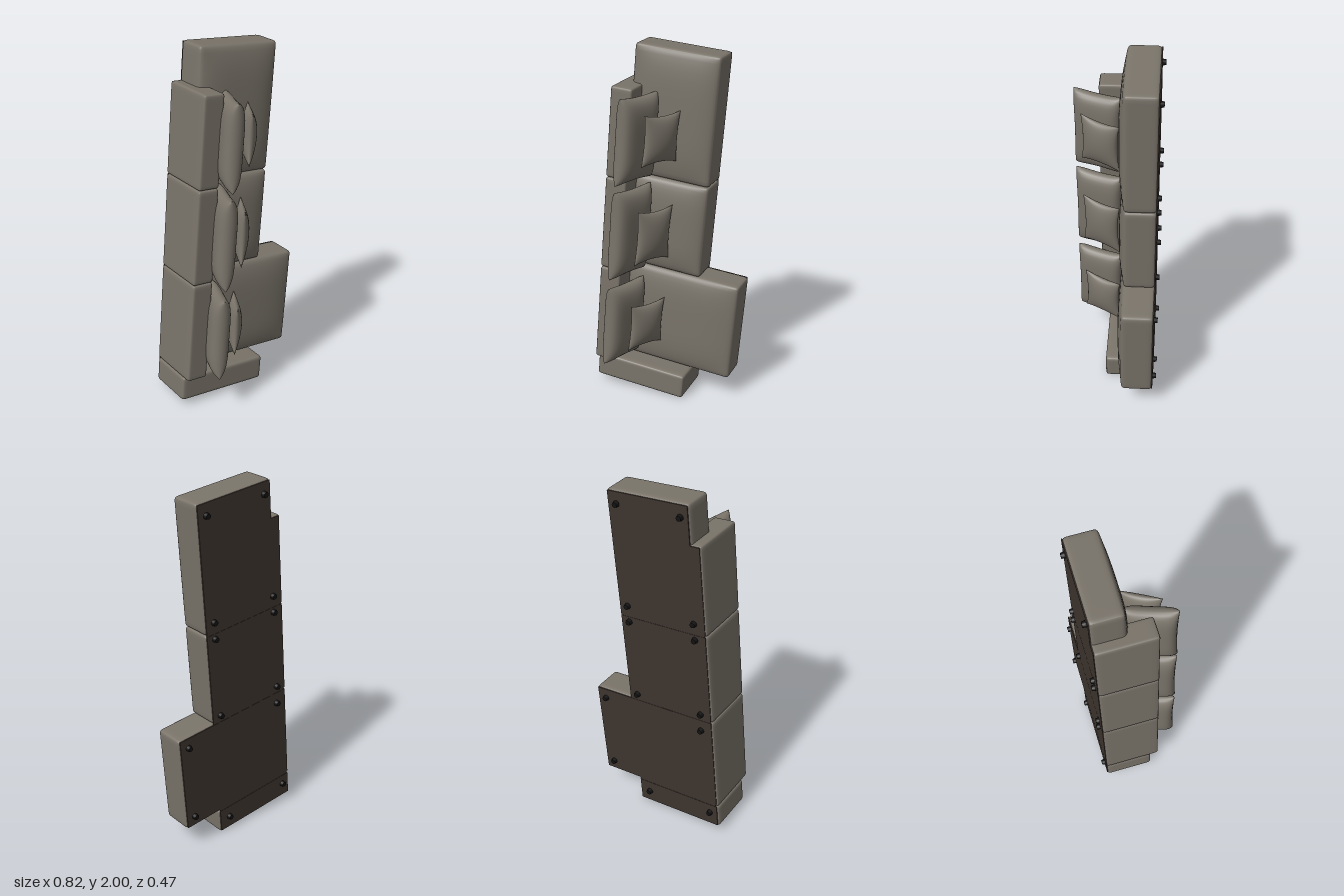
import * as THREE from 'three';
import { mergeVertices } from 'three/addons/utils/BufferGeometryUtils.js';

const fabric = new THREE.MeshStandardMaterial({ color: 0x7a746a });
fabric.name = 'warm grey fabric';
const lining = new THREE.MeshStandardMaterial({ color: 0x3d342e });
lining.name = 'dark brown lining';
const black = new THREE.MeshStandardMaterial({ color: 0x121212 });
black.name = 'black feet';

// Unit cube grid, dense toward its edges, with every vertex moved by a rule
function shaped(nx, ny, nz, rule) {
  let g = new THREE.BoxGeometry(2, 2, 2, nx, ny, nz);
  g.deleteAttribute('uv');
  g.deleteAttribute('normal');
  const p = g.attributes.position;
  const v = new THREE.Vector3();
  const ease = (t) => Math.sin(t * Math.PI / 2);
  for (let i = 0; i < p.count; i++) {
    v.set(ease(p.getX(i)), ease(p.getY(i)), ease(p.getZ(i)));
    rule(v);
    p.setXYZ(i, v.x, v.y, v.z);
  }
  g = mergeVertices(g, 1e-5);
  g.computeVertexNormals();
  return g;
}

// Upholstered block with rounded edges and a domed top (+z)
function block(x0, x1, y0, y1, z0, z1, r, bulge = 0) {
  const half = new THREE.Vector3(x1 - x0, y1 - y0, z1 - z0).multiplyScalar(0.5);
  const inner = half.clone().subScalar(r);
  const low = inner.clone().negate();
  const g = shaped(20, 20, 12, (v) => {
    const dome = bulge * (1 - v.x ** 4) * (1 - v.y ** 4) * Math.max(0, v.z) ** 2;
    v.multiply(half);
    const core = v.clone().clamp(low, inner);
    v.sub(core).normalize().multiplyScalar(r).add(core);
    v.z += dome;
  });
  g.translate((x0 + x1) / 2, (y0 + y1) / 2, (z0 + z1) / 2);
  return g;
}

// Pillow with pinched sides; a higher power gives a fuller, boxier form
function pillow(w, h, t, power, pinch) {
  return shaped(24, 24, 1, (v) => {
    const { x, y } = v;
    v.x = w * x * (1 - pinch * (1 - y * y));
    v.y = h * y * (1 - pinch * (1 - x * x));
    v.z = Math.sign(v.z) * t * Math.sqrt(Math.max(0, (1 - Math.abs(x) ** power) * (1 - Math.abs(y) ** power)));
  });
}

export function createModel() {
  const model = new THREE.Group();
  model.name = 'sectionalSofa';
  const sofa = new THREE.Group();
  sofa.name = 'sofaBody';
  sofa.rotation.z = -0.0838;
  model.add(sofa);

  const add = (name, geometry, material) => {
    const m = new THREE.Mesh(geometry, material);
    m.name = name;
    sofa.add(m);
    return m;
  };

  // Seats
  add('chaiseSeat', block(-0.36, 0.35, 0.163, 0.741, -0.215, -0.042, 0.02, 0.03), fabric);
  add('middleSeat', block(-0.36, 0.12, 0.742, 1.273, -0.215, -0.042, 0.02, 0.03), fabric);
  add('endSeat', block(-0.36, 0.12, 1.274, 1.982, -0.215, -0.042, 0.02, 0.03), fabric);

  // Backrests and armrest
  [[0.157, 0.736], [0.738, 1.27], [1.272, 1.774]].forEach(([a, b], i) =>
    add('backrest' + (i + 1), block(-0.415, -0.292, a, b, -0.215, 0.105, 0.014), fabric));
  add('armrest', block(-0.415, 0.121, 0.012, 0.156, -0.215, 0.06, 0.018), fabric);

  // Underside lining, one thin plate per section
  [
    [-0.405, 0.112, 0.02, 0.155], [-0.405, 0.341, 0.17, 0.735],
    [-0.405, 0.112, 0.745, 1.268], [-0.405, 0.112, 1.278, 1.768], [-0.352, 0.112, 1.766, 1.974],
  ].forEach(([x0, x1, y0, y1], i) => {
    const plate = add('undersideLining' + (i + 1), new THREE.BoxGeometry(x1 - x0, y1 - y0, 0.006), lining);
    plate.position.set((x0 + x1) / 2, (y0 + y1) / 2, -0.215);
  });
  // Lining strips that close the gaps between sections
  [[0.162, 0.112], [0.74, 0.112], [1.273, 0.112]].forEach(([y, x1], i) => {
    const strip = add('liningStrip' + (i + 1), new THREE.BoxGeometry(x1 + 0.4, 0.02, 0.004), lining);
    strip.position.set((x1 - 0.4) / 2, y, -0.2145);
  });

  // Feet
  const footShape = new THREE.CylinderGeometry(0.018, 0.014, 0.022, 16).rotateX(-Math.PI / 2);
  [
    [-0.31, 1.91], [0.062, 1.91], [-0.343, 1.335], [0.062, 1.335],
    [-0.343, 1.24], [0.062, 1.24], [-0.345, 0.777], [0.062, 0.777],
    [-0.34, 0.67], [0.29, 0.678], [0.29, 0.225], [-0.36, 0.1], [0.05, 0.09],
  ].forEach(([x, y], i) => {
    const f = add('foot' + (i + 1), footShape, black);
    f.position.set(x, y, -0.226);
    f.rotation.x = Math.PI;
  });

  // Leaning back cushions and throw pillows
  [[0.445, 0.236], [0.992, 0.255], [1.52, 0.236]].forEach(([y, h], i) => {
    const c = add('backCushion' + (i + 1), pillow(0.136, h, 0.056, 5, 0.05), fabric);
    c.position.set(-0.252, y, 0.106);
    c.rotation.y = -(Math.PI / 2 + 0.34);
  });
  [[0.447, 0.14], [0.993, 0.158], [1.54, 0.14]].forEach(([y, h], i) => {
    const c = add('throwPillow' + (i + 1), pillow(0.116, h, 0.042, 2, 0.13), fabric);
    c.position.set(-0.12, y, 0.088);
    c.rotation.y = -(Math.PI / 2 + 0.5);
  });
  return model;
}
